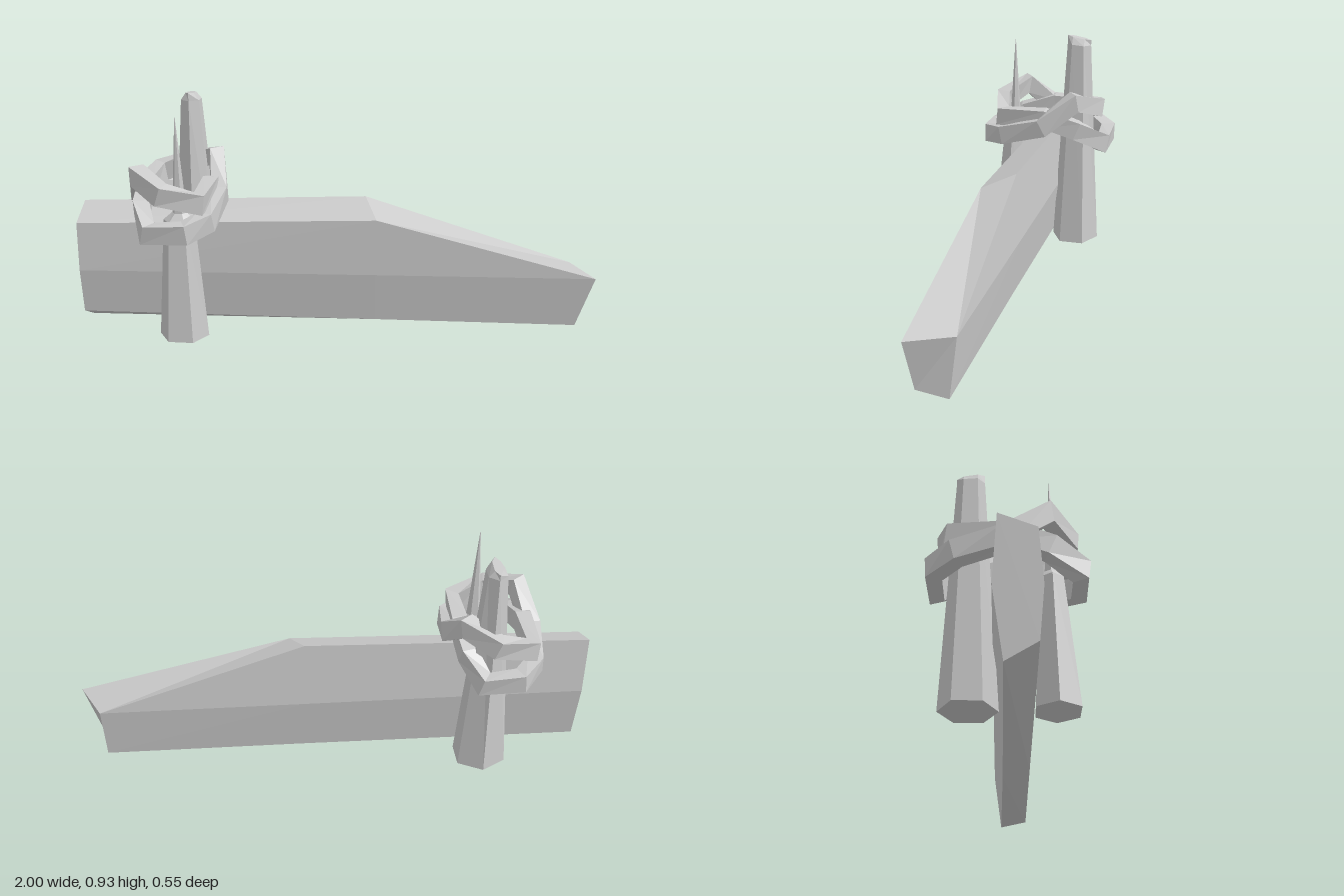
import * as THREE from 'three';

const material = new THREE.MeshStandardMaterial({ color: 0xcccccc, flatShading: true });

// Skin a row of equal-sized cross-sections (counter-clockwise around the travel direction)
function loft(name, sections, closed = false) {
  const pos = [];
  const tri = (...pts) => pts.forEach((p) => pos.push(...p));
  const count = sections.length, n = sections[0].length;
  for (let i = 0; i < (closed ? count : count - 1); i++) {
    const s = sections[i], e = sections[(i + 1) % count];
    for (let j = 0; j < n; j++) {
      const k = (j + 1) % n;
      tri(s[j], s[k], e[j]);
      tri(s[k], e[k], e[j]);
    }
  }
  if (!closed) {
    const a = sections[0], b = sections[count - 1];
    for (let j = 1; j < n - 1; j++) {
      tri(a[0], a[j + 1], a[j]);
      tri(b[0], b[j], b[j + 1]);
    }
  }
  const geo = new THREE.BufferGeometry();
  geo.setAttribute('position', new THREE.Float32BufferAttribute(pos, 3));
  geo.computeVertexNormals();
  const mesh = new THREE.Mesh(geo, material);
  mesh.name = name;
  return mesh;
}

// Six-sided post; each level is [y, centre x, centre z, radius x, radius z, top slope]
function post(name, turn, levels) {
  return loft(name, levels.map(([y, cx, cz, rx, rz, slope = 0]) =>
    Array.from({ length: 6 }, (_, i) => {
      const a = turn + (i * Math.PI) / 3;
      const dz = rz * Math.cos(a);
      return [cx + rx * Math.sin(a), y + slope * dz, cz + dz];
    })));
}

// Closed square-section rope through the given corner points
function rope(name, points, halfHeight, halfWidth) {
  const pts = points.map((p) => new THREE.Vector3(...p));
  const n = pts.length, up = new THREE.Vector3(0, 1, 0);
  return loft(name, pts.map((p, i) => {
    const before = p.clone().sub(pts[(i + n - 1) % n]).normalize();
    const after = pts[(i + 1) % n].clone().sub(p).normalize();
    const t = before.add(after).normalize();
    const out = t.clone().cross(up).normalize();
    const u = out.clone().cross(t);
    return [[1, -1], [1, 1], [-1, 1], [-1, -1]].map(([h, w]) =>
      p.clone().addScaledVector(u, h * halfHeight).addScaledVector(out, w * halfWidth).toArray());
  }), true);
}

export function createModel() {
  const group = new THREE.Group();
  group.name = 'lashedFenceRail';

  // Rail: bottom, middle and top edges, ending in a sloped tip
  group.add(loft('rail', [
    [[-1, 0.065, 0.09], [-1, 0.0, -0.015], [-1, 0.25, -0.05],
      [-1, 0.495, -0.035], [-1, 0.445, 0.09], [-1, 0.25, 0.105]],
    [[0.17, 0.083, 0.09], [0.12, 0.038, -0.015], [0.12, 0.277, -0.05],
      [0.12, 0.55, -0.035], [0.17, 0.5, 0.09], [0.17, 0.28, 0.105]],
    [[0.94, 0.095, 0.09], [0.92, 0.065, -0.02], [0.92, 0.297, -0.05],
      [0.92, 0.297, -0.05], [1, 0.3, 0.105], [1, 0.3, 0.105]],
  ]));

  // Front post with a thin splintered spike
  group.add(post('frontPost', Math.PI / 2, [
    [0.02, -0.575, 0.163, 0.097, 0.084],
    [0.5, -0.575, 0.15, 0.06, 0.045],
    [0.53, -0.572, 0.147, 0.028, 0.024],
    [0.9, -0.57, 0.147, 0.001, 0.001],
  ]));

  // Back post with a chamfered, slanted top
  group.add(post('backPost', 0, [
    [0.02, -0.575, -0.128, 0.11, 0.1],
    [0.895, -0.57, -0.13, 0.041, 0.05, 0.08],
    [0.922, -0.57, -0.13, 0.018, 0.05, 0.17],
  ]));

  // Two tilted rope loops that cross between the posts
  const path = [
    [-0.125, 0.665, 0.13], [-0.02, 0.62, 0.21], [0.115, 0.58, 0.185],
    [0.125, 0.585, 0], [0.115, 0.54, -0.14], [0.07, 0.478, -0.245],
    [-0.07, 0.485, -0.245], [-0.14, 0.505, -0.17], [-0.16, 0.555, 0],
  ];
  for (const [name, turn] of [['frontHighRope', 0], ['backHighRope', Math.PI]]) {
    const loop = rope(name, path, 0.038, 0.03);
    loop.position.x = -0.605;
    loop.rotation.y = turn;
    group.add(loop);
  }
  return group;
}
